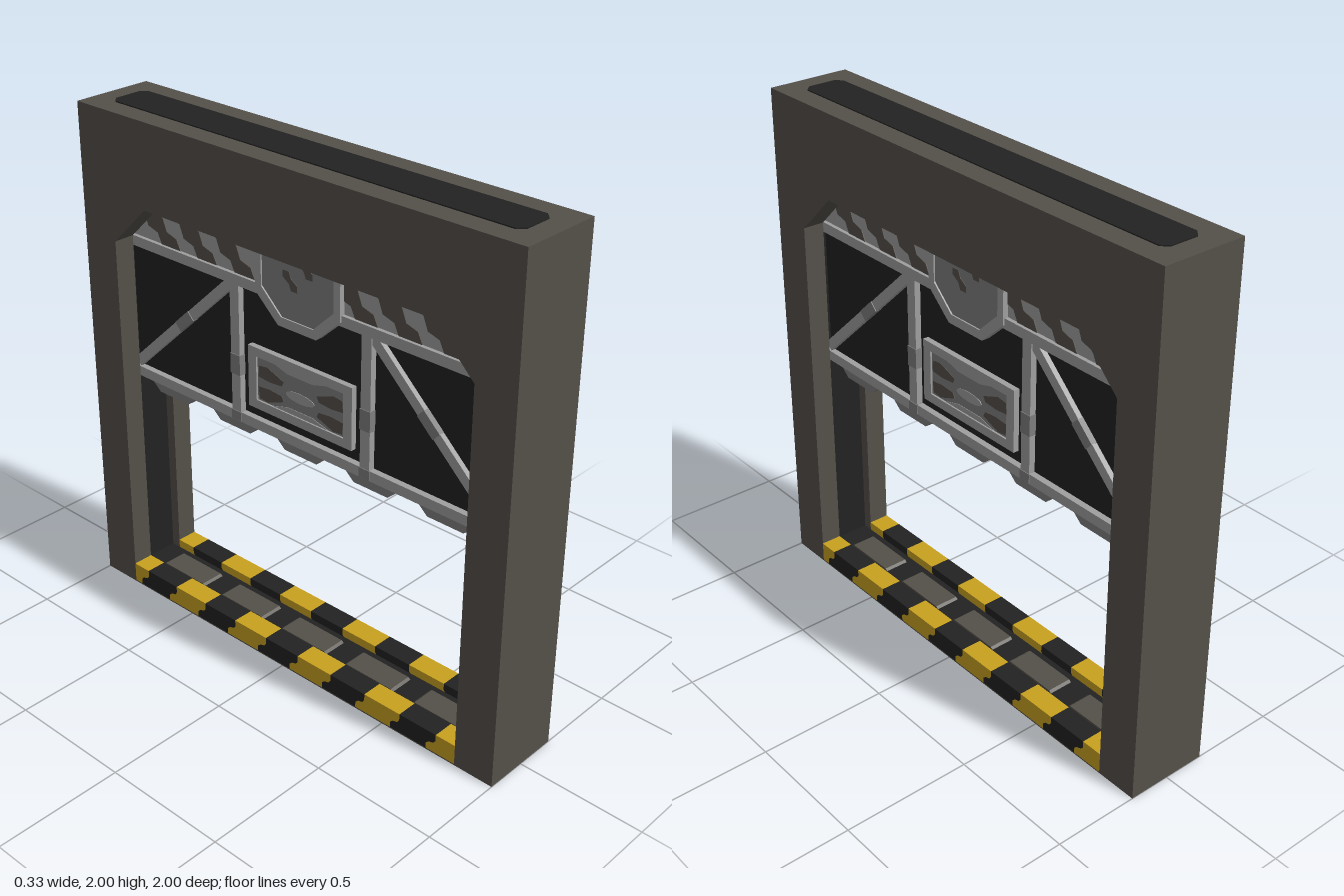
import * as THREE from 'three';

const mat = (name, color) => {
  const m = new THREE.MeshStandardMaterial({ color });
  m.name = name;
  return m;
};

export function createModel() {
  const wall = mat('wall brown', 0x545049);
  const dark = mat('dark panel', 0x222222);
  const light = mat('light steel', 0x9f9f9f);
  const mid = mat('mid steel', 0x7e7e7e);
  const yellow = mat('hazard yellow', 0xc9a11f);

  const model = new THREE.Group();
  model.name = 'gate';

  const group = (name, parent = model) => {
    const g = new THREE.Group();
    g.name = name;
    parent.add(g);
    return g;
  };
  // Box from its limits on each axis
  const box = (parent, name, m, [x0, x1], [y0, y1], [z0, z1]) => {
    const mesh = new THREE.Mesh(new THREE.BoxGeometry(x1 - x0, y1 - y0, z1 - z0), m);
    mesh.position.set((x0 + x1) / 2, (y0 + y1) / 2, (z0 + z1) / 2);
    mesh.name = name;
    parent.add(mesh);
    return mesh;
  };
  // Plate drawn in (u, y) with u = -z, extruded along x from x0 to x1
  const toShape = (pts) => new THREE.Shape(pts.map(([u, y]) => new THREE.Vector2(u, y)));
  const plate = (parent, name, m, pts, x0, x1, hole) => {
    const shape = toShape(pts);
    if (hole) shape.holes.push(toShape(hole));
    const geo = new THREE.ExtrudeGeometry(shape, { depth: x1 - x0, bevelEnabled: false });
    geo.rotateY(Math.PI / 2).translate(x0, 0, 0);
    const mesh = new THREE.Mesh(geo, m);
    mesh.name = name;
    parent.add(mesh);
    return mesh;
  };
  const rect = (u0, u1, y0, y1) => [[u0, y0], [u1, y0], [u1, y1], [u0, y1]];

  // Gate frame: middle core with a slot for the door
  const frame = group('frame');
  box(frame, 'base', wall, [-0.165, 0.165], [0, 0.005], [-1, 1]);
  box(frame, 'lintelCore', wall, [-0.08, 0.08], [1.665, 1.996], [-1, 1]);
  box(frame, 'sillSlotFloor', dark, [-0.08, 0.08], [0.005, 0.05], [-0.89, 0.89]);
  for (const s of [-1, 1]) {
    const span = (a, b) => (s > 0 ? [a, b] : [-b, -a]);
    box(frame, 'jambCore', wall, [-0.08, 0.08], [0.005, 1.665], span(0.885, 1));
    box(frame, 'jambSlot', dark, [-0.08, 0.08], [0.05, 1.665], span(0.875, 0.885));
  }
  // Floor patches in the sill slot
  for (let i = -2; i <= 2; i++) {
    const u = i / 3;
    plate(frame, 'floorPatch', wall,
      [[u - 0.12, 0.05], [u + 0.12, 0.05], [u + 0.11, 0.058], [u - 0.11, 0.058]], -0.05, 0.05);
  }
  // Dark inlay with cut corners on the roof
  const inlay = new THREE.ExtrudeGeometry(
    toShape([[-0.08, -0.89], [-0.055, -0.915], [0.055, -0.915], [0.08, -0.89],
      [0.08, 0.89], [0.055, 0.915], [-0.055, 0.915], [-0.08, 0.89]]),
    { depth: 0.004, bevelEnabled: false });
  inlay.rotateX(-Math.PI / 2).translate(0, 1.996, 0);
  const inlayMesh = new THREE.Mesh(inlay, dark);
  inlayMesh.name = 'roofInlay';
  frame.add(inlayMesh);

  // Door: slab, rails, posts and braces
  const door = group('door');
  box(door, 'doorSlab', dark, [-0.045, 0.045], [0.93, 1.664], [-0.874, 0.874]);
  box(door, 'bottomRail', light, [-0.07, 0.07], [0.91, 0.95], [-0.874, 0.874]);
  box(door, 'upperRail', light, [-0.07, 0.07], [1.455, 1.495], [-0.874, 0.874]);
  box(door, 'upperBand', light, [-0.055, 0.055], [1.495, 1.664], [-0.874, 0.874]);
  for (const s of [-1, 1]) {
    const c = s * 0.313;
    box(door, 'post', light, [-0.07, 0.07], [0.95, 1.455], [c - 0.022, c + 0.022]);
    box(door, 'postSleeve', mid, [-0.073, 0.073], [1.1, 1.18], [c - 0.024, c + 0.024]);
    box(door, 'railSleeve', mid, [-0.073, 0.073], [0.913, 0.95], [c - 0.024, c + 0.024]);
    const brace = (name, m, t0, t1, w, x) => {
      const at = (t, d) => [s * (0.86 - 0.535 * t + d * 0.69), 0.965 + 0.5 * t + d * 0.72];
      const pts = [at(t0, -w), at(t0, w), at(t1, w), at(t1, -w)];
      plate(door, name, m, pts, -x, x);
    };
    brace('brace', light, 0, 1, 0.02, 0.065);
    brace('braceSleeve', mid, 0.45, 0.58, 0.021, 0.068);
  }
  // Teeth along the bottom edge
  for (let i = -2; i <= 2; i++) {
    const u = i / 3;
    plate(door, 'tooth', mid,
      [[u - 0.078, 0.87], [u + 0.078, 0.87], [u + 0.13, 0.915], [u - 0.13, 0.915]], -0.06, 0.06);
  }

  // Stepped edges of the painted stripes
  const wave = [[0, 1.664], [0.02, 1.62], [0.07, 1.6], [0.09, 1.55], [0.14, 1.535], [0.16, 1.495]];
  const stepped = (u) => [[u - 0.043, 0.005], [u - 0.043, 0.028], [u - 0.03, 0.04],
    [u - 0.01, 0.045], [u, 0.058], [u, 0.085]];

  // Parts repeated on both faces by a half turn
  for (const turn of [0, Math.PI]) {
    const side = group(turn ? 'rightFace' : 'leftFace');
    side.rotation.y = turn;

    plate(side, 'frameFace', wall,
      [[-1, 0.005], [-0.835, 0.005], [-0.835, 1.5], [-0.665, 1.665], [0.665, 1.665],
        [0.835, 1.5], [0.835, 0.005], [1, 0.005], [1, 1.996], [-1, 1.996]], 0.08, 0.165);

    // Hazard blocks along the sill
    const clampU = ([u, y]) => [Math.max(-0.835, Math.min(0.835, u)), y];
    for (let k = 0; k <= 10; k++) {
      const u = -0.921 + k * 0.167;
      const pts = [...stepped(u), ...stepped(u + 0.167).reverse()].map(clampU);
      plate(side, 'sillBlock', k % 2 ? dark : yellow, pts, 0.08, 0.165);
    }

    // Stripes on the upper band
    for (let k = 0; k < 9; k++) {
      const u = -0.86 + k * 0.19;
      if (u > -0.15 && u < 0) continue;
      const edge = (d) => wave.map(([a, y]) => [Math.max(-0.87, Math.min(0.87, u + a + d)), y]);
      plate(side, 'bandStripe', wall, [...edge(0), ...edge(0.1).reverse()], 0.055, 0.058);
    }

    // Central lock housing
    const outer = [[-0.2, 1.664], [-0.2, 1.47], [-0.09, 1.37], [0.09, 1.37], [0.2, 1.47], [0.2, 1.664]];
    const inner = [[-0.15, 1.66], [-0.17, 1.64], [-0.17, 1.495], [-0.075, 1.405],
      [0.075, 1.405], [0.17, 1.495], [0.17, 1.64], [0.15, 1.66]];
    plate(side, 'lockRim', light, outer, 0.04, 0.077, inner);
    plate(side, 'lockPlate', mid, inner, 0.04, 0.071);
    for (const [u, y] of [[-0.07, 1.585], [0, 1.65]]) {
      plate(side, 'lockPatch', wall,
        [[u, y], [u, y - 0.025], [u + 0.03, y - 0.045], [u + 0.04, y - 0.07], [u + 0.07, y - 0.07],
          [u + 0.07, y - 0.045], [u + 0.04, y - 0.025], [u + 0.03, y]], 0.071, 0.073);
    }

    // Framed centre panel with worn patches
    plate(side, 'panelRim', light, rect(-0.25, 0.25, 0.995, 1.24), 0.04, 0.068,
      rect(-0.21, 0.21, 1.03, 1.205));
    plate(side, 'panelPlate', mid, rect(-0.21, 0.21, 1.03, 1.205), 0.04, 0.06);
    for (const a of [-1, 1]) {
      for (const b of [-1, 1]) {
        const pts = [[0.205, 0.02], [0.2, 0.065], [0.16, 0.07], [0.08, 0.04], [0.09, 0.02], [0.15, 0.015]];
        plate(side, 'panelPatch', wall, pts.map(([u, v]) => [a * u, 1.105 + b * v]), 0.06, 0.062);
      }
      const dip = [[-0.14, 0.1], [-0.06, 0.075], [0.06, 0.075], [0.14, 0.1]];
      plate(side, 'panelGleam', light, dip.map(([u, v]) => [u, 1.117 + a * v * 0.88]), 0.06, 0.062);
    }
    const lens = Array.from({ length: 12 }, (_, i) => {
      const t = (i / 12) * Math.PI * 2;
      return [0.07 * Math.cos(t), 1.105 + 0.02 * Math.sin(t)];
    });
    plate(side, 'panelLens', light, lens, 0.06, 0.062);
  }
  return model;
}
